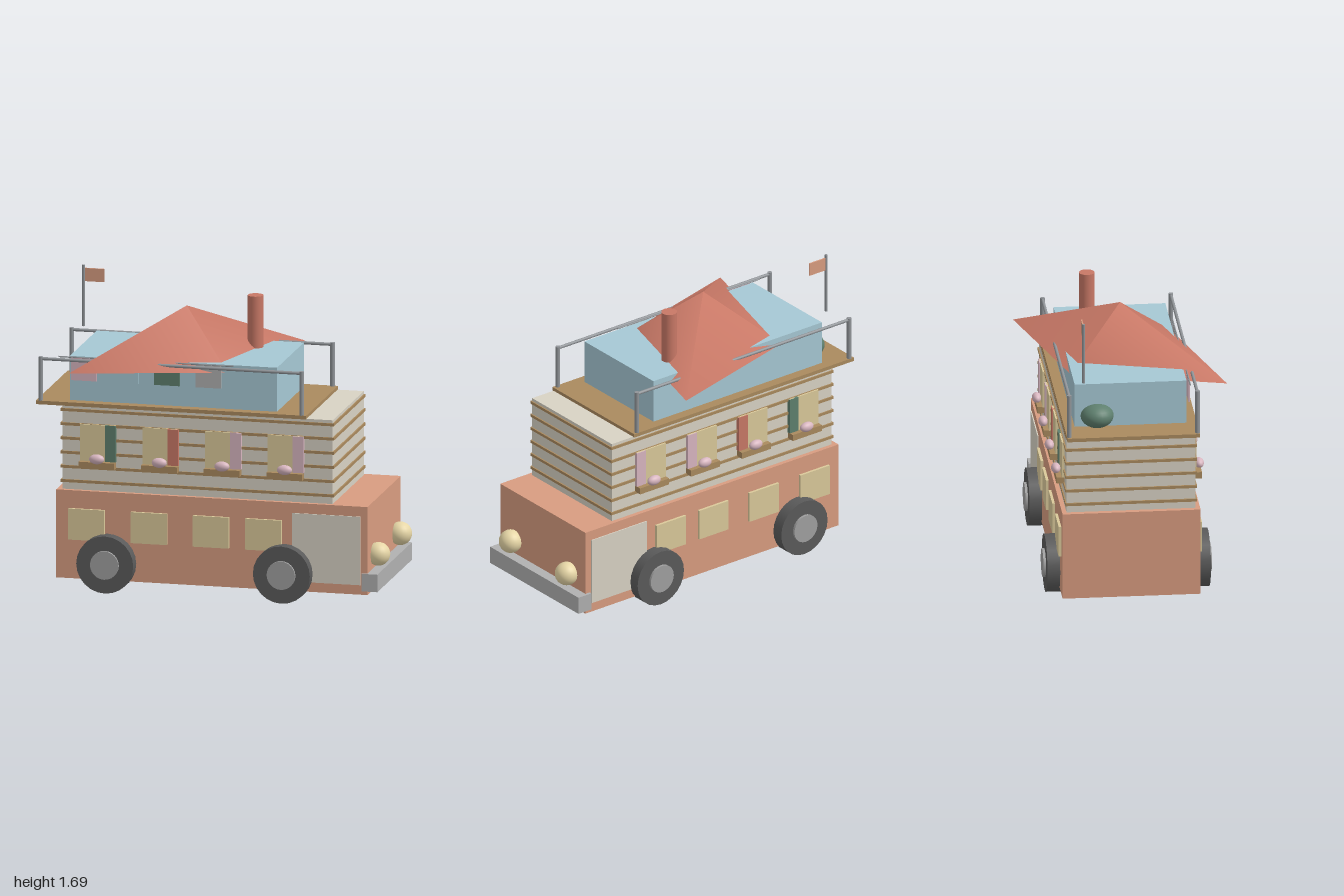
import * as THREE from 'three';

const mats = {};
function mat(color) {
  return (mats[color] ??= new THREE.MeshStandardMaterial({ color }));
}
const C = {
  body: 0xd89c80, roof: 0xc87866, wall: 0xd8d2c4, wood: 0xaa8a5e, blue: 0xa6c8d4, glass: 0xdac99a,
  tyre: 0x5a5a5a, hub: 0xa0a0a0, steel: 0xb0b0b0, pole: 0x909498, green: 0x5e7f6e, pink: 0xd8b6c0, lamp: 0xe6d6a6,
};

export function createModel() {
  const model = new THREE.Group();

  function add(name, geometry, color, x, y, z) {
    const mesh = new THREE.Mesh(geometry, mat(color));
    mesh.name = name;
    mesh.position.set(x, y, z);
    model.add(mesh);
    return mesh;
  }
  // Box given by its limits on each axis
  function box(name, color, [x0, x1], [y0, y1], [z0, z1]) {
    return add(name, new THREE.BoxGeometry(x1 - x0, y1 - y0, z1 - z0), color,
      (x0 + x1) / 2, (y0 + y1) / 2, (z0 + z1) / 2);
  }
  // Box repeated on both long sides
  function sideBoxes(name, color, xs, ys, [z0, z1]) {
    box(name, color, xs, ys, [z0, z1]);
    box(name, color, xs, ys, [-z1, -z0]);
  }
  function ball(name, color, x, y, z, rx, ry = rx, rz = rx) {
    const mesh = add(name, new THREE.SphereGeometry(1, 24, 16), color, x, y, z);
    mesh.scale.set(rx, ry, rz);
  }
  function rod(name, color, r, length, x, y, z, axis = 'y') {
    const geometry = new THREE.CylinderGeometry(r, r, length, 24);
    if (axis === 'x') geometry.rotateZ(Math.PI / 2);
    if (axis === 'z') geometry.rotateX(Math.PI / 2);
    add(name, geometry, color, x, y, z);
  }

  // Lower bus body, doors, windows and bumper
  box('busBody', C.body, [-0.88, 0.9], [0.065, 0.567], [-0.385, 0.385]);
  sideBoxes('sideDoor', C.wall, [0.47, 0.86], [0.12, 0.51], [0.38, 0.391]);
  for (const x of [-0.808, -0.45, -0.096, 0.204]) {
    sideBoxes('lowerWindow', C.glass, [x, x + 0.206], [0.288, 0.465], [0.38, 0.4]);
  }
  box('bumper', C.steel, [0.87, 0.96], [0.088, 0.188], [-0.4, 0.4]);

  // Wheels and headlights
  for (const side of [-1, 1]) {
    for (const x of [-0.585, 0.425]) {
      rod('tyre', C.tyre, 0.163, 0.106, x, 0.168, side * 0.403, 'z');
      rod('hub', C.hub, 0.081, 0.12, x, 0.168, side * 0.41, 'z');
    }
    ball('headlight', C.lamp, 0.93, 0.272, side * 0.253, 0.066);
  }

  // Upper storey with horizontal trim
  box('upperStorey', C.wall, [-0.85, 0.695], [0.565, 1.045], [-0.36, 0.36]);
  for (let i = 0; i < 6; i++) {
    const y = 0.615 + i * 0.081;
    box('trimStrip', C.wood, [-0.859, 0.703], [y - 0.008, y + 0.008], [-0.367, 0.367]);
  }

  // Upper windows with curtain, sill box and flower
  [C.green, C.roof, C.pink, C.pink].forEach((color, i) => {
    const x = -0.645 + i * 0.358;
    sideBoxes('upperWindow', C.glass, [x - 0.102, x + 0.102], [0.735, 0.945], [0.355, 0.376]);
    sideBoxes('curtain', color, [x + 0.042, x + 0.104], [0.738, 0.945], [0.36, 0.381]);
    sideBoxes('windowBox', C.wood, [x - 0.102, x + 0.102], [0.7, 0.737], [0.36, 0.406]);
    for (const side of [-1, 1]) ball('flower', C.pink, x, 0.755, side * 0.4, 0.043, 0.028, 0.026);
  });

  // Deck and cabin
  box('deck', C.wood, [-1, 0.545], [1.043, 1.064], [-0.37, 0.37]);
  box('cabin', C.blue, [-0.82, 0.365], [1.06, 1.315], [-0.312, 0.312]);

  // Four-sided roof, stretched along one diagonal
  const roof = add('roof', new THREE.ConeGeometry(1, 0.295, 4), C.roof, -0.228, 1.4175, 0);
  roof.scale.set(0.768, 1, 0.438);
  roof.rotation.y = Math.PI / 4;
  rod('chimney', C.roof, 0.044, 0.31, 0.128, 1.455, -0.15);

  // Railings
  for (const side of [-1, 1]) {
    for (const x of [-0.975, 0.517]) rod('railPost', C.pole, 0.013, 0.25, x, 1.188, side * 0.358);
    rod('handrail', C.pole, 0.009, 1.5, -0.229, 1.302, side * 0.358, 'x');
  }

  // Washing line
  rod('washingLine', C.pole, 0.004, 1.0, -0.38, 1.312, 0.328, 'x');
  [C.pink, C.blue, C.green, C.steel].forEach((color, i) => {
    const x = -0.735 + i * 0.237;
    box('laundry', color, [x - 0.073, x + 0.073], [1.182, 1.31], [0.324, 0.332]);
  });

  // Shrub and flag
  ball('shrub', C.green, -0.82, 1.128, -0.187, 0.092, 0.068, 0.092);
  rod('flagpole', C.pole, 0.008, 0.35, -0.884, 1.523, -0.268);
  box('flag', C.body, [-0.876, -0.765], [1.605, 1.68], [-0.272, -0.264]);

  return model;
}
